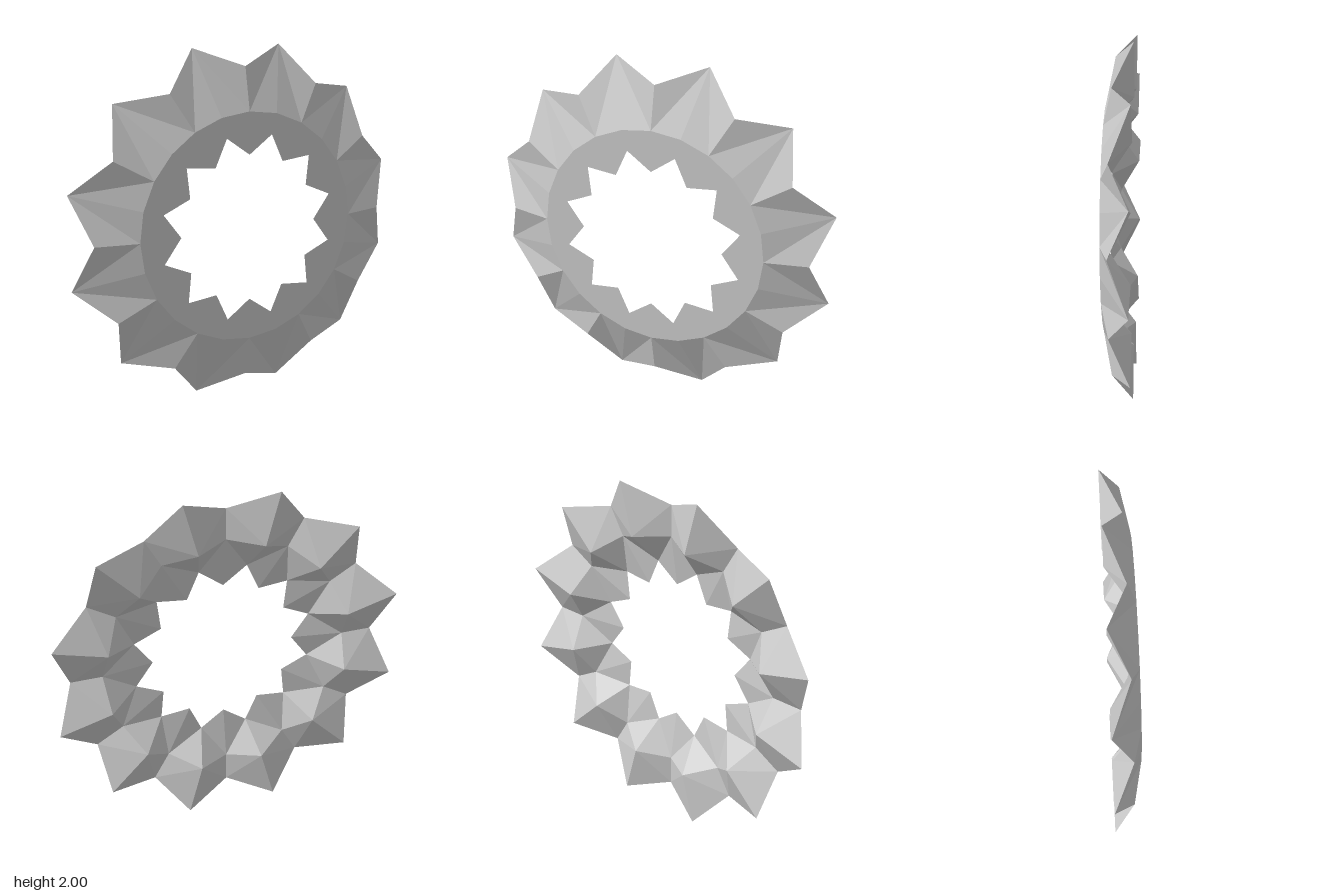
import * as THREE from 'three';

// Cross-sections as [radius, z]: outer rim, front crease, inner edge, back crease
const PEAK = [[1.035, -0.08], [0.66, 0.08], [0.54, 0.08], [0.725, -0.08]];
const VALLEY = [[0.9, 0.03], [0.66, 0.08], [0.42, 0.08], [0.72, 0.03]];
const SEGMENTS = 24;

// Closed ring whose section alternates between valley and peak
function pleatedRing() {
  const positions = [];
  const index = [];
  const sides = PEAK.length;
  for (let i = 0; i < SEGMENTS; i++) {
    const angle = (i / SEGMENTS) * Math.PI * 2;
    const section = i % 2 ? PEAK : VALLEY;
    const next = (i + 1) % SEGMENTS;
    section.forEach(([r, z], j) => {
      positions.push(r * Math.sin(angle), r * Math.cos(angle), z);
      const k = (j + 1) % sides;
      const a = i * sides + j, b = i * sides + k;
      const c = next * sides + k, d = next * sides + j;
      // Mirror the diagonal on every other segment
      if (i % 2) index.push(a, b, c, a, c, d);
      else index.push(a, b, d, b, c, d);
    });
  }
  const indexed = new THREE.BufferGeometry();
  indexed.setAttribute('position', new THREE.Float32BufferAttribute(positions, 3));
  indexed.setIndex(index);
  const geometry = indexed.toNonIndexed();
  geometry.computeVertexNormals();
  return geometry;
}

export function createModel() {
  const model = new THREE.Group();
  model.name = 'starRing';
  const material = new THREE.MeshStandardMaterial({ color: 0xcccccc, flatShading: true });

  // Ring stands upright on its two lowest points
  const ring = new THREE.Mesh(pleatedRing(), material);
  ring.name = 'pleatedRing';
  ring.position.y = 1;
  model.add(ring);
  return model;
}
